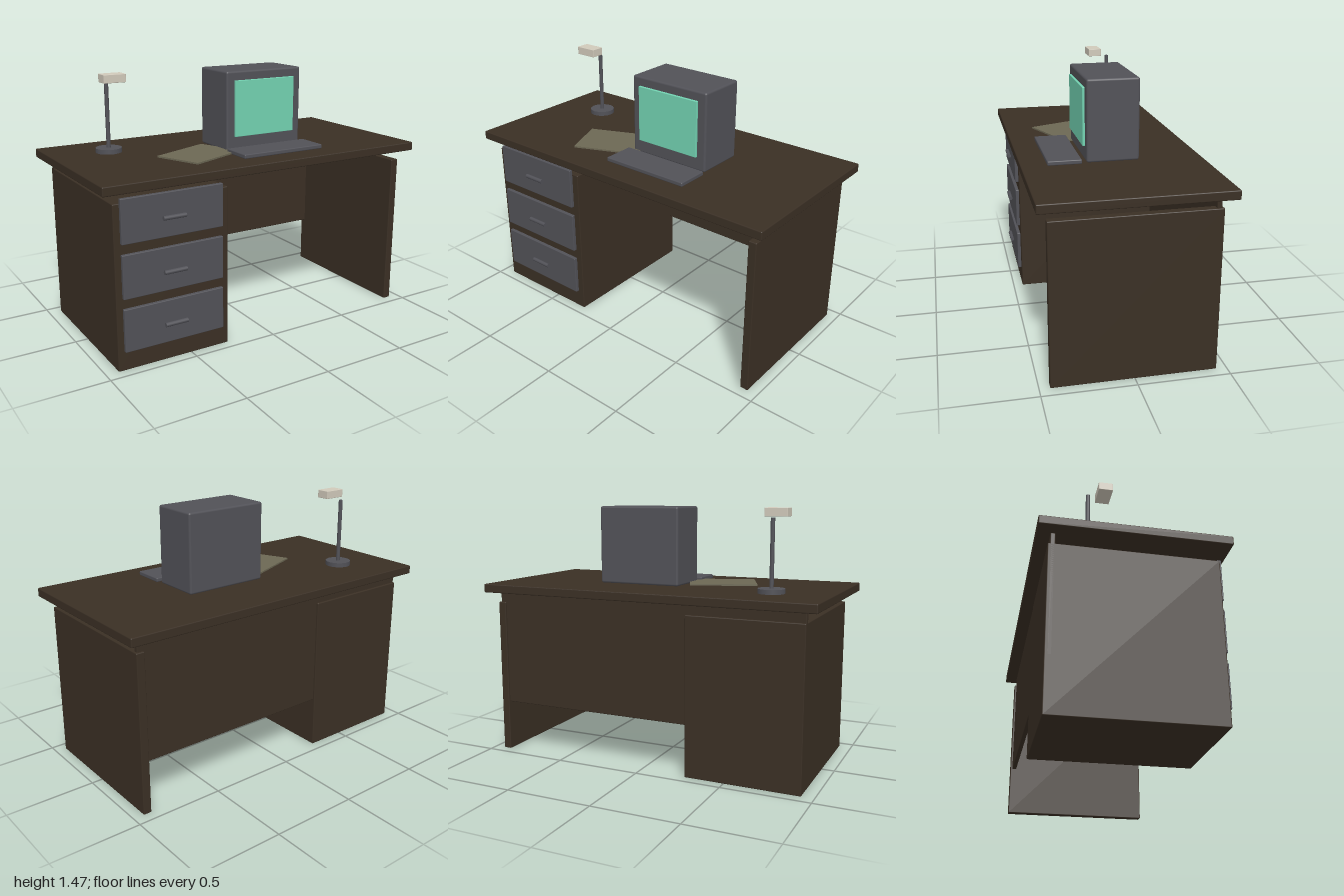
import * as THREE from 'three';
import { RoundedBoxGeometry } from 'three/addons/geometries/RoundedBoxGeometry.js';

function material(name, color) {
  const m = new THREE.MeshStandardMaterial({ color });
  m.name = name;
  return m;
}

export function createModel() {
  const desk = new THREE.Group();
  desk.name = 'desk';
  const wood = material('dark wood', 0x3a2f24);
  const metal = material('dark grey', 0x515157);
  const glass = material('screen green', 0x72d2b1);
  const sheet = material('paper', 0x6c6854);
  const shade = material('lamp cream', 0xd0c9ba);

  function add(name, geometry, mat, parent = desk) {
    const mesh = new THREE.Mesh(geometry, mat);
    mesh.name = name;
    parent.add(mesh);
    return mesh;
  }

  // Box given by its extents, with softened edges when r > 0
  function box(name, [x0, x1], [y0, y1], [z0, z1], mat, r = 0, parent = desk) {
    const size = [x1 - x0, y1 - y0, z1 - z0];
    const geometry = r ? new RoundedBoxGeometry(...size, 2, r) : new THREE.BoxGeometry(...size);
    const mesh = add(name, geometry, mat, parent);
    mesh.position.set((x0 + x1) / 2, (y0 + y1) / 2, (z0 + z1) / 2);
    return mesh;
  }

  // Desk body
  box('desktop', [-1, 1], [0.965, 1.015], [-0.5, 0.5], wood, 0.006);
  box('pedestal', [-0.93, -0.27], [0, 0.905], [-0.443, 0.443], wood, 0.005);
  box('sideLeg', [0.893, 0.94], [0, 0.905], [-0.443, 0.443], wood, 0.005);
  box('modestyPanel', [-0.93, 0.93], [0.295, 0.965], [-0.431, -0.405], wood, 0.005);

  // Drawers with bar handles
  for (const y of [0.227, 0.52, 0.813]) {
    const drawer = new THREE.Group();
    drawer.name = 'drawer';
    desk.add(drawer);
    box('drawerFront', [-0.895, -0.31], [y - 0.119, y + 0.119], [0.44, 0.463], metal, 0.004, drawer);
    const handle = add('drawerHandle', new THREE.CylinderGeometry(0.012, 0.012, 0.13, 12), metal, drawer);
    handle.rotation.z = Math.PI / 2;
    handle.position.set(-0.604, y - 0.012, 0.475);
  }

  // Computer
  box('monitor', [-0.095, 0.408], [1.015, 1.467], [-0.145, 0.145], metal, 0.012);
  box('screen', [-0.045, 0.355], [1.095, 1.415], [0.14, 0.158], glass, 0.003);
  box('keyboard', [-0.11, 0.42], [1.015, 1.04], [0.172, 0.36], metal, 0.006);

  // Loose sheet, turned on the desktop
  const paper = add('paper', new THREE.BoxGeometry(0.39, 0.009, 0.284), sheet);
  paper.position.set(-0.265, 1.0205, 0.131);
  paper.rotation.y = 0.395;

  // Desk lamp
  const lamp = new THREE.Group();
  lamp.name = 'lamp';
  lamp.position.set(-0.67, 1.015, -0.2);
  desk.add(lamp);
  add('lampBase', new THREE.CylinderGeometry(0.075, 0.075, 0.026, 16), metal, lamp).position.y = 0.013;
  add('lampPole', new THREE.CylinderGeometry(0.012, 0.012, 0.38, 12), metal, lamp).position.y = 0.21;
  box('lampHead', [-0.065, 0.065], [0.405, 0.452], [0.05, 0.13], shade, 0.003, lamp);

  return desk;
}
